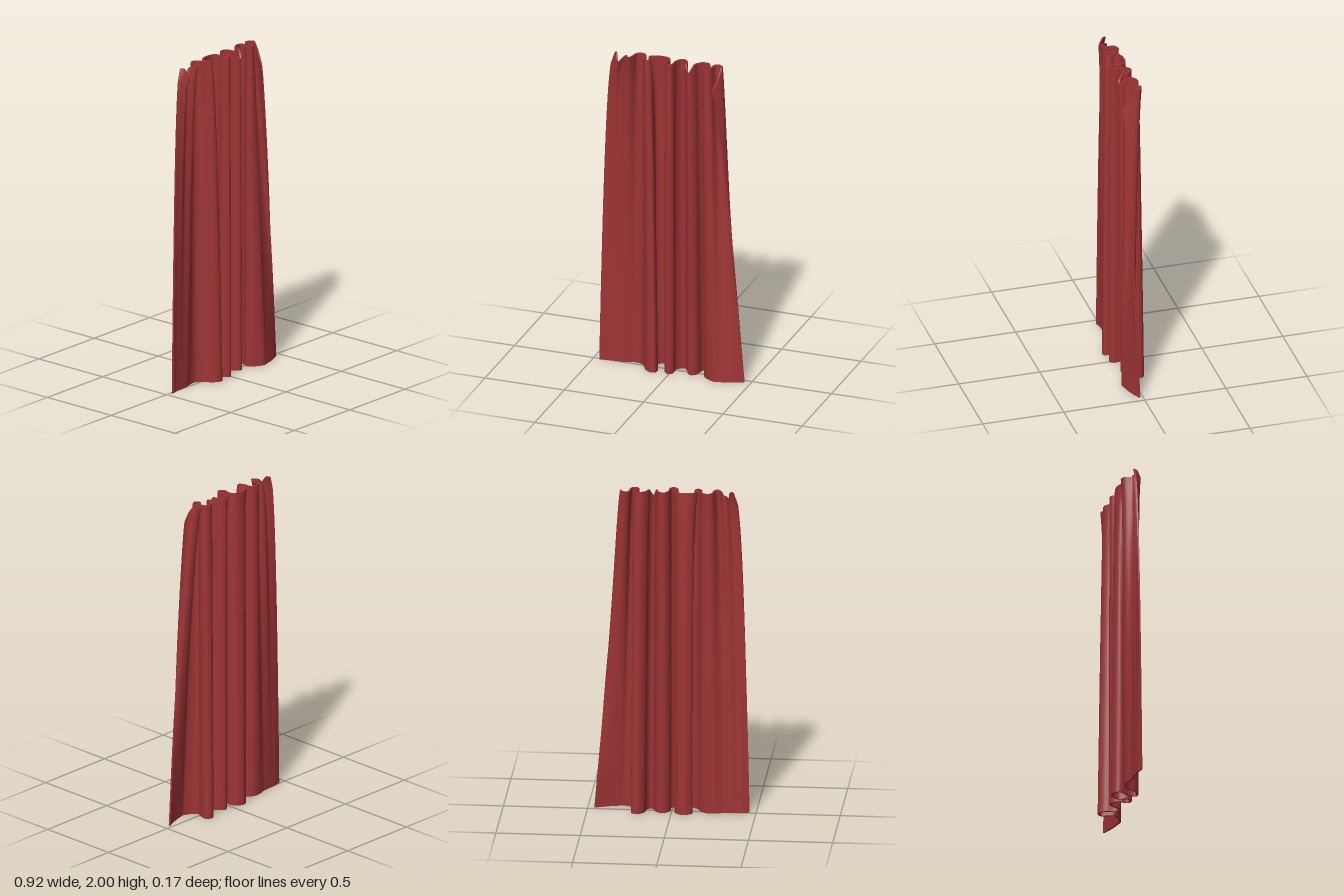
import * as THREE from 'three';
import { toCreasedNormals } from 'three/addons/utils/BufferGeometryUtils.js';

const HEIGHT = 2;
const HALF_THICK = 0.005;
const COLUMNS = 190;
const ROWS = 26;

// Gathered heading: x, z pairs from the right edge to the left edge
const TOP = [
  -0.365, -0.012, -0.345, 0.02, -0.335, 0.033, -0.305, 0, -0.27, 0.042, -0.252, 0.02,
  -0.24, -0.03, -0.21, -0.045, -0.18, -0.025, -0.175, 0.02, -0.155, 0.045, -0.138, 0.025,
  -0.153, -0.015, -0.125, -0.035, -0.09, -0.042, -0.045, -0.037, -0.022, -0.005, -0.03, 0.04,
  -0.008, 0.063, 0.012, 0.045, 0.015, 0, 0.03, -0.033, 0.055, -0.045, 0.083, -0.02,
  0.092, 0.022, 0.113, 0.043, 0.135, 0.018, 0.145, -0.015, 0.175, -0.042, 0.213, -0.04,
  0.222, -0.005, 0.2, 0.02, 0.213, 0.045, 0.243, 0.03, 0.25, -0.025, 0.27, -0.043,
  0.3, -0.025, 0.298, 0.02, 0.275, 0.07,
];

// Spread hem, matched point for point with the heading
const HEM = [
  -0.46, 0.012, -0.42, 0, -0.39, -0.003, -0.355, -0.005, -0.31, -0.008, -0.28, -0.018,
  -0.25, -0.026, -0.215, -0.025, -0.18, 0, -0.155, 0.045, -0.12, 0.076, -0.088, 0.074,
  -0.088, 0.03, -0.122, -0.035, -0.08, -0.068, -0.04, -0.053, -0.022, -0.015, -0.035, 0.035,
  -0.008, 0.066, 0.015, 0.045, 0.012, 0, 0.03, -0.03, 0.06, -0.045, 0.09, -0.015,
  0.105, 0.02, 0.13, 0.035, 0.155, 0.01, 0.165, -0.045, 0.2, -0.077, 0.232, -0.06,
  0.225, -0.02, 0.21, 0.02, 0.235, 0.05, 0.285, 0.076, 0.32, 0.07, 0.36, 0.06,
  0.4, 0.047, 0.43, 0.034, 0.46, 0.02,
];

function foldCurve(pairs) {
  const points = [];
  for (let i = 0; i < pairs.length; i += 2) points.push(new THREE.Vector3(pairs[i], 0, pairs[i + 1]));
  return new THREE.CatmullRomCurve3(points, false, 'catmullrom', 0.45);
}

// How far the top edge sags: two slack points and the loose left corner
function sag(u) {
  const k = u * (TOP.length / 2 - 1);
  const dip = (centre, width) => Math.max(0, 1 - Math.abs(k - centre) / width);
  return 0.05 * dip(2, 1.4) + 0.05 * dip(25, 1.1) + 0.12 * dip(38, 1.6);
}

function clothGeometry() {
  const top = foldCurve(TOP).getPoints(COLUMNS);
  const hem = foldCurve(HEM).getPoints(COLUMNS);
  const ring = 2 * (COLUMNS + 1);
  const positions = [];
  const index = [];

  for (let j = 0; j <= ROWS; j++) {
    const v = j / ROWS;
    // Folds open quickly on the right side, almost evenly on the left
    const line = top.map((p, i) => {
      const open = Math.pow(1 - v, THREE.MathUtils.lerp(0.4, 0.8, i / COLUMNS));
      return p.clone().lerp(hem[i], open);
    });
    const front = [];
    const back = [];
    line.forEach((p, i) => {
      const a = line[Math.max(i - 1, 0)];
      const b = line[Math.min(i + 1, COLUMNS)];
      const normal = new THREE.Vector3(a.z - b.z, 0, b.x - a.x).setLength(HALF_THICK);
      const y = v * (HEIGHT - sag(i / COLUMNS));
      front.push([p.x + normal.x, y, p.z + normal.z]);
      back.unshift([p.x - normal.x, y, p.z - normal.z]);
    });
    for (const p of [...front, ...back]) positions.push(...p);
  }

  const quad = (a, b, c, d) => index.push(a, b, c, a, c, d);
  // Front, back and side edges
  for (let j = 0; j < ROWS; j++) {
    for (let i = 0; i < ring; i++) {
      const n = (i + 1) % ring;
      quad(j * ring + i, j * ring + n, (j + 1) * ring + n, (j + 1) * ring + i);
    }
  }
  // Top and hem edges
  const up = ROWS * ring;
  for (let i = 0; i < COLUMNS; i++) {
    const b = ring - 1 - i;
    quad(up + i, up + i + 1, up + b - 1, up + b);
    quad(i, b, b - 1, i + 1);
  }

  const geometry = new THREE.BufferGeometry();
  geometry.setAttribute('position', new THREE.Float32BufferAttribute(positions, 3));
  geometry.setIndex(index);
  return toCreasedNormals(geometry, 0.9);
}

export function createModel() {
  const group = new THREE.Group();
  group.name = 'curtain';
  const material = new THREE.MeshStandardMaterial({ color: 0x9e3434, side: THREE.DoubleSide });
  const cloth = new THREE.Mesh(clothGeometry(), material);
  cloth.name = 'curtainCloth';
  group.add(cloth);
  return group;
}
